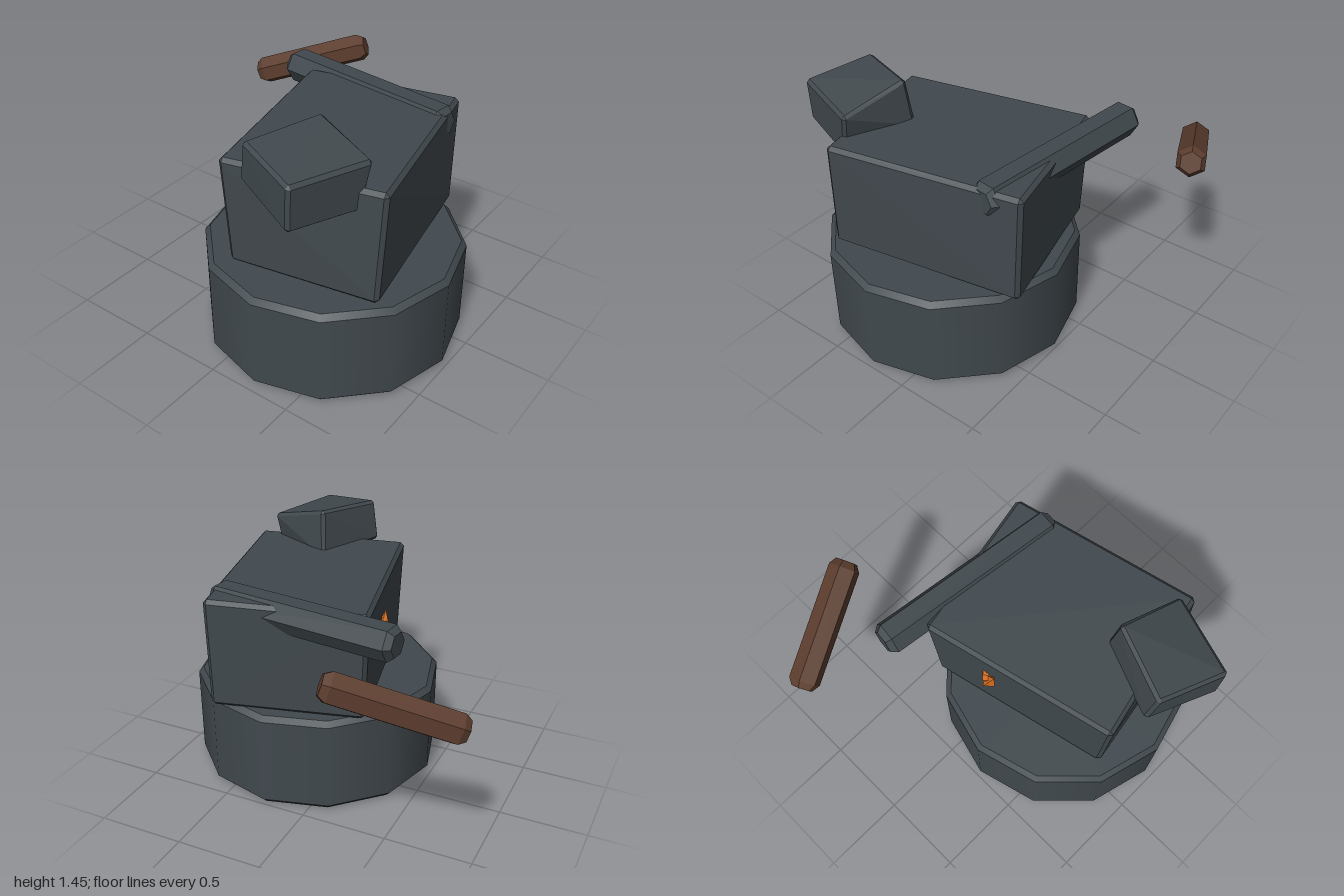
import * as THREE from 'three';
import { ConvexGeometry } from 'three/addons/geometries/ConvexGeometry.js';

const stone = new THREE.MeshStandardMaterial({ color: 0x41494e });
stone.name = 'dark iron';
const wood = new THREE.MeshStandardMaterial({ color: 0x5c3d2e });
wood.name = 'brown wood';
const ember = new THREE.MeshStandardMaterial({ color: 0xd9701e });
ember.name = 'ember orange';

function part(geometry, material, name) {
  const mesh = new THREE.Mesh(geometry, material);
  mesh.name = name;
  return mesh;
}

// Chamfered six-sided block from four bottom and four top corners
function chamferedBlock(bottom, top, cut) {
  const v = [...bottom, ...top].map((p) => new THREE.Vector3(...p));
  const points = [];
  for (let i = 0; i < 8; i++) {
    const level = i < 4 ? 0 : 4;
    const along = [level + ((i + 1) % 4), level + ((i + 3) % 4), (i + 4) % 8]
      .map((j) => v[j].clone().sub(v[i]).normalize().multiplyScalar(cut));
    for (let k = 0; k < 3; k++) {
      points.push(v[i].clone().add(along[k]).add(along[(k + 1) % 3]));
    }
  }
  return new ConvexGeometry(points);
}

// Six-sided rod with tapered ends between two points
function rod(a, b, radius, cut, turn) {
  const from = new THREE.Vector3(...a);
  const to = new THREE.Vector3(...b);
  const length = from.distanceTo(to);
  const profile = [
    [0, 0], [radius * 0.7, 0], [radius, cut],
    [radius, length - cut], [radius * 0.7, length], [0, length],
  ].map(([x, y]) => new THREE.Vector2(x, y));
  let geo = new THREE.LatheGeometry(profile, 6).toNonIndexed();
  geo.computeVertexNormals();
  geo.rotateY(turn);
  // Local z stays as close to world up as possible
  const axis = to.clone().sub(from).normalize();
  const side = new THREE.Vector3().crossVectors(axis, new THREE.Vector3(0, 1, 0)).normalize();
  const up = new THREE.Vector3().crossVectors(side, axis);
  geo.applyMatrix4(new THREE.Matrix4().makeBasis(side, axis, up));
  // Basis above may be mirrored only if the axes are left handed
  geo.translate(from.x, from.y, from.z);
  return geo;
}

export function createModel() {
  const model = new THREE.Group();
  model.name = 'forge';

  // Round twelve-sided base with smooth walls and bevelled rims
  const base = new THREE.Group();
  base.name = 'base';
  base.position.set(-0.23, 0, 0.253);
  const R = 0.727, H = 0.575, cut = 0.03;
  const wall = new THREE.CylinderGeometry(R, R, H - 2 * cut, 12, 1, true);
  wall.translate(0, H / 2, 0);
  base.add(part(wall, stone, 'baseWall'));
  const rim = new THREE.CylinderGeometry(R - cut, R, cut, 12, 1, true);
  const cap = new THREE.CircleGeometry(R - cut, 12).rotateX(-Math.PI / 2);
  for (const upper of [true, false]) {
    const ring = part(rim, stone, upper ? 'topRim' : 'bottomRim');
    const disc = part(cap, stone, upper ? 'topFace' : 'bottomFace');
    ring.position.y = upper ? H - cut / 2 : cut / 2;
    disc.position.y = upper ? H : 0;
    if (!upper) ring.rotation.x = disc.rotation.x = Math.PI;
    base.add(ring, disc);
  }
  model.add(base);

  // Main block, turned slightly on the base
  model.add(part(chamferedBlock(
    [[-0.77, 0.58, -0.04], [0.29, 0.58, -0.28], [0.48, 0.565, 0.58], [-0.63, 0.585, 0.8]],
    [[-0.8, 1.215, -0.06], [0.31, 1.215, -0.31], [0.5, 1.215, 0.58], [-0.6, 1.225, 0.82]],
    0.022), stone, 'mainBlock'));

  // Small tilted block overhanging one corner
  model.add(part(chamferedBlock(
    [[-0.85, 1.19, 0.13], [-0.42, 1.17, 0.31], [-0.61, 1.09, 0.68], [-1.01, 1.12, 0.54]],
    [[-0.87, 1.425, 0.17], [-0.46, 1.455, 0.33], [-0.555, 1.355, 0.71], [-1.01, 1.375, 0.55]],
    0.018), stone, 'cornerBlock'));

  // Bar lying across the block and the loose wooden handle
  model.add(part(rod([0.283, 1.148, 0.625], [0.423, 1.148, -0.515], 0.1, 0.035, Math.PI / 6),
    stone, 'bar'));
  model.add(part(rod([0.635, 0.885, -0.965], [0.92, 1.13, -0.33], 0.088, 0.04, 0),
    wood, 'handle'));

  // Jagged ember on the rear wall: x, y, z, tilt, height
  const emberGroup = new THREE.Group();
  emberGroup.name = 'ember';
  const spike = new THREE.ConeGeometry(0.045, 1, 4).toNonIndexed();
  spike.computeVertexNormals();
  [[-0.045, 1.02, 0.35, 0.13], [-0.1, 1.01, -0.35, 0.12], [-0.07, 0.95, Math.PI, 0.12]]
    .forEach(([x, y, tilt, height], i) => {
      const mesh = part(spike, ember, 'emberSpike' + (i + 1));
      mesh.position.set(x, y, -0.218 - (x + 0.07) * -0.22);
      mesh.scale.y = height;
      mesh.rotation.z = -tilt;
      emberGroup.add(mesh);
    });
  model.add(emberGroup);

  return model;
}
